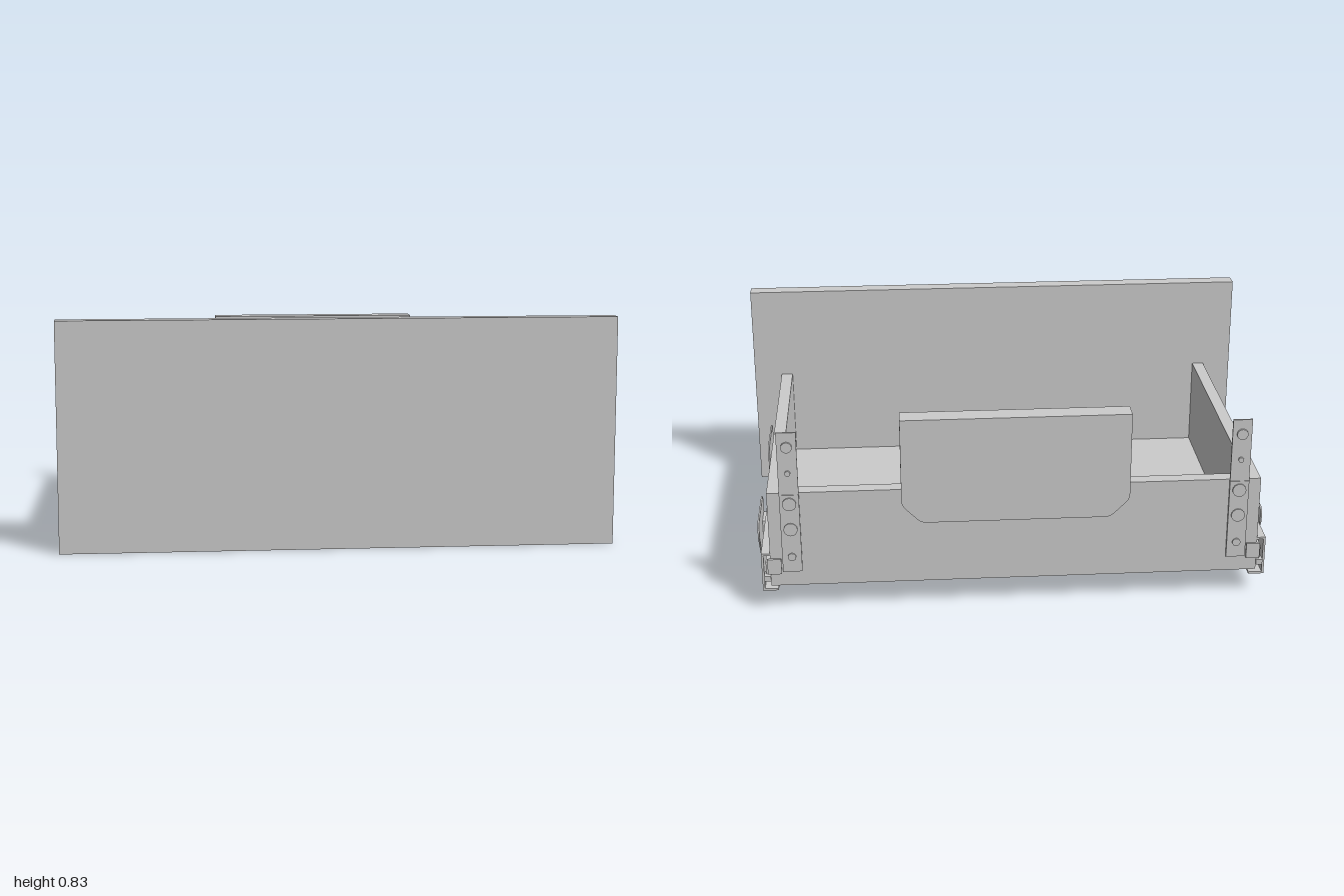
import * as THREE from 'three';

const mat = new THREE.MeshStandardMaterial({ color: 0xcccccc });

export function createModel() {
  const root = new THREE.Group();
  root.name = 'drawer';

  const add = (name, geo) => {
    const m = new THREE.Mesh(geo, mat);
    m.name = name;
    root.add(m);
    return m;
  };
  // box given by its limits on each axis
  const box = (name, x0, x1, y0, y1, z0, z1) =>
    add(name, new THREE.BoxGeometry(Math.abs(x1 - x0), y1 - y0, z1 - z0))
      .position.set((x0 + x1) / 2, (y0 + y1) / 2, (z0 + z1) / 2);
  const extrude = (shape, depth) =>
    new THREE.ExtrudeGeometry(shape, { depth, bevelEnabled: false, curveSegments: 6 });

  // closed outline with every corner rounded by its own radius: [a, b, r]
  const outline = (pts) => {
    const s = new THREE.Shape();
    pts.forEach(([a, b, r], i) => {
      const p = new THREE.Vector2(a, b);
      const prev = new THREE.Vector2(...pts[(i + pts.length - 1) % pts.length].slice(0, 2));
      const next = new THREE.Vector2(...pts[(i + 1) % pts.length].slice(0, 2));
      const u = prev.sub(p).setLength(r).add(p);
      const v = next.sub(p).setLength(r).add(p);
      if (i) s.lineTo(u.x, u.y);
      else s.moveTo(u.x, u.y);
      s.quadraticCurveTo(a, b, v.x, v.y);
    });
    s.closePath();
    return s;
  };

  // drawer front and box
  box('frontPanel', -1, 1, 0, 0.83, 0.56, 0.62);
  box('floor', -0.89, 0.89, 0.1, 0.125, -0.605, 0.56);
  box('backWall', -0.845, 0.845, 0.125, 0.47, -0.605, -0.555);

  // raised cap straddling the back wall: two plates joined by a top strip
  const plate = (name, bottom, z, depth) => {
    const c = 0.07, w = 0.412;
    const geo = extrude(outline([
      [-w, 0.74, 0.002], [-w, bottom + c, 0.02], [-w + c, bottom, 0.02],
      [w - c, bottom, 0.02], [w, bottom + c, 0.02], [w, 0.74, 0.002],
    ]), depth);
    add(name, geo).position.z = z;
  };
  plate('capFrontPlate', 0.29, -0.549, 0.009);
  plate('capBackPlate', 0.34, -0.616, 0.01);
  box('capTop', -0.412, 0.412, 0.705, 0.74, -0.606, -0.549);
  box('capCore', -0.39, 0.39, 0.47, 0.705, -0.606, -0.549);

  // plates standing off the slides, drawn in z and y
  const brackets = {
    frontBracket: {
      pts: [[0.265, 0.07, 0.004], [0.52, 0.07, 0.004], [0.52, 0.267, 0.035], [0.265, 0.267, 0.035]],
      z0: 0.265, z1: 0.52,
    },
    rearBracket: {
      pts: [[-0.365, 0.07, 0.004], [-0.105, 0.07, 0.004], [-0.105, 0.11, 0.015], [-0.178, 0.2, 0.015],
        [-0.178, 0.267, 0.03], [-0.44, 0.267, 0.03], [-0.44, 0.21, 0.015], [-0.365, 0.11, 0.015]],
      z0: -0.365, z1: -0.105,
    },
  };

  for (const s of [1, -1]) {
    const side = (name, x0, x1, ...r) => box(name, s * x0, s * x1, ...r);
    side('sideWall', 0.845, 0.89, 0.125, 0.47, -0.605, 0.56);

    // slide: open channel with an inner rail
    side('slideOuterWeb', 0.914, 0.922, 0.08, 0.23, -0.605, 0.56);
    side('slideTop', 0.89, 0.914, 0.222, 0.23, -0.605, 0.56);
    side('slideBottom', 0.865, 0.914, 0.08, 0.088, -0.605, 0.56);
    side('slideRail', 0.893, 0.908, 0.11, 0.19, -0.59, 0.56);
    side('slideRunner', 0.84, 0.86, 0.073, 0.1, -0.455, 0.56);

    for (const [name, b] of Object.entries(brackets)) {
      const geo = extrude(outline(b.pts), 0.006).rotateY(-Math.PI / 2);
      add(name, geo).position.x = s > 0 ? 0.943 : -0.937;
      side(name + 'Foot', 0.87, 0.939, 0.068, 0.075, b.z0, b.z1);
      side(name + 'Spacer', 0.922, 0.938, 0.075, 0.2, b.z0 + 0.09, b.z1 - 0.09);
    }

    // upright strips on the back with round screw heads
    side('upperStrip', 0.775, 0.845, 0.465, 0.705, -0.612, -0.605);
    side('lowerStrip', 0.775, 0.845, 0.16, 0.465, -0.615, -0.605);
    for (const [y, r] of [[0.65, 0.02], [0.55, 0.01], [0.43, 0.025], [0.33, 0.025], [0.22, 0.015]]) {
      const head = add('screwHead', new THREE.CylinderGeometry(r, r, 0.014, 16).rotateX(Math.PI / 2));
      head.position.set(s * 0.81, y, -0.613);
    }

    // hook at the rear end of the slide
    side('rearHookPlate', 0.85, 0.9, 0.15, 0.21, -0.614, -0.605);
    side('rearHookLip', 0.89, 0.914, 0.12, 0.14, -0.61, -0.57);
  }
  return root;
}
